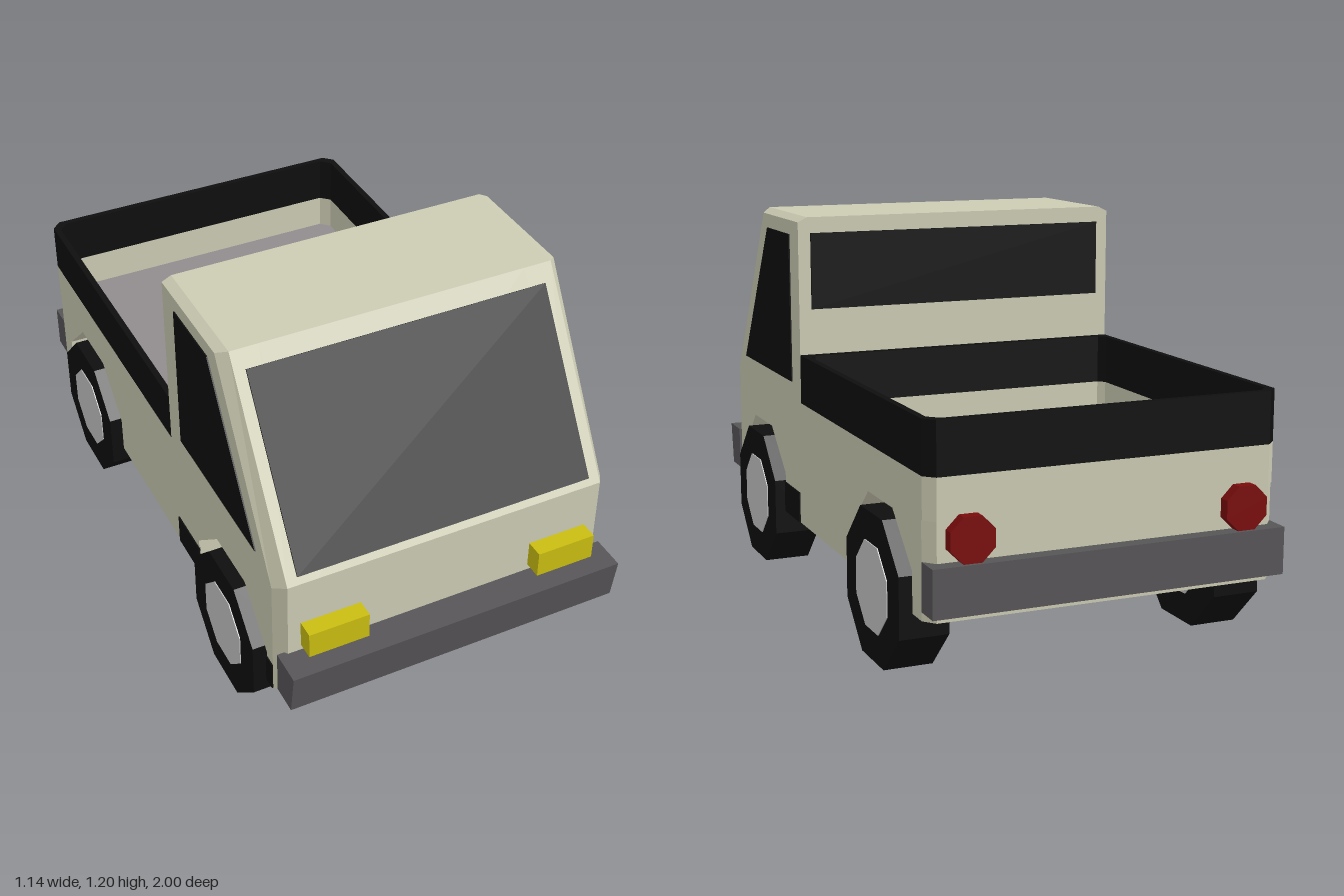
import * as THREE from 'three';

const mat = (name, color) => Object.assign(new THREE.MeshStandardMaterial({ color, flatShading: true }), { name });

export function createModel() {
  const paint = mat('cream paint', 0xcccbb3);
  const black = mat('black trim and glass', 0x0e0e0e);
  const bumperGrey = mat('dark grey', 0x575557);
  const bedGrey = mat('bed grey', 0x918c8d);
  const hubGrey = mat('hub light grey', 0xc6c6c6);
  const yellow = mat('headlight yellow', 0xcabd10);
  const red = mat('tail light red', 0x7a0b0b);

  const group = new THREE.Group();
  const add = (name, geo, material, x = 0, y = 0, z = 0) => {
    const m = new THREE.Mesh(geo, material);
    m.name = name;
    m.position.set(x, y, z);
    group.add(m);
    return m;
  };
  const box = (name, material, w, h, d, x, y, z) =>
    add(name, new THREE.BoxGeometry(w, h, d), material, x, y, z);

  // Body: side profiles (z, y) joined across the width, with chamfered corners
  const arches = [
    [-0.85, 0.21], [-0.85, 0.33], [-0.7, 0.47], [-0.5, 0.47], [-0.35, 0.33], [-0.35, 0.21],
    [0.32, 0.21], [0.32, 0.34], [0.47, 0.47], [0.67, 0.47], [0.82, 0.32], [0.82, 0.21],
  ];
  const inner = [[0.9, 0.21], [0.9, 0.63], [0.54, 1.2], [0.13, 1.2], [0.13, 0.49],
    [-0.955, 0.49], [-0.955, 0.21], ...arches];
  const outer = [[0.86, 0.21], [0.86, 0.61], [0.51, 1.185], [0.13, 1.185], [0.13, 0.49],
    [-0.92, 0.49], [-0.92, 0.21], ...arches];
  const stations = [[-0.54, outer], [-0.51, inner], [-0.42, inner], [0.42, inner], [0.51, inner], [0.54, outer]];
  const bodyPos = [], wellPos = [];
  const isArch = (k) => (k >= 7 && k < 12) || (k >= 13 && k < 18);
  for (let i = 0; i < stations.length - 1; i++) {
    const [x0, p0] = stations[i], [x1, p1] = stations[i + 1];
    for (let k = 0; k < inner.length; k++) {
      const n = (k + 1) % inner.length;
      const pt = (x, p) => [x, p[1], p[0]];
      const a = pt(x0, p0[k]), b = pt(x0, p0[n]), c = pt(x1, p1[n]), d = pt(x1, p1[k]);
      (i === 2 && isArch(k) ? wellPos : bodyPos).push(...a, ...d, ...c, ...a, ...c, ...b);
    }
  }
  // Flat sides of the body
  const contour = outer.map(([z, y]) => new THREE.Vector2(z, y));
  for (const tri of THREE.ShapeUtils.triangulateShape(contour, [])) {
    const t = tri.map((i) => contour[i]);
    const ordered = THREE.ShapeUtils.area(t) < 0 ? t : [t[0], t[2], t[1]];
    for (const v of ordered) bodyPos.push(0.54, v.y, v.x);
    for (const v of [...ordered].reverse()) bodyPos.push(-0.54, v.y, v.x);
  }
  const fromPositions = (pos) => {
    const g = new THREE.BufferGeometry();
    g.setAttribute('position', new THREE.Float32BufferAttribute(pos, 3));
    g.computeVertexNormals();
    return g;
  };
  add('body', fromPositions(bodyPos), paint);
  add('wheelWells', fromPositions(wellPos), bumperGrey);

  // Cargo bed walls: a ring in plan, cream below and black above
  const plan = (w, front, back, c, cf) => [
    [-w + cf, front], [w - cf, front], [w, front - cf], [w, back + c], [w - c, back],
    [-w + c, back], [-w, back + c], [-w, front - cf],
  ].map(([x, z]) => new THREE.Vector2(x, -z));
  const bedRing = (y0, y1) => {
    const s = new THREE.Shape(plan(0.54, 0.13, -0.955, 0.03, 0));
    s.holes.push(new THREE.Path(plan(0.52, 0.1, -0.935, 0.03, 0.02)));
    return new THREE.ExtrudeGeometry(s, { depth: y1 - y0, bevelEnabled: false })
      .rotateX(-Math.PI / 2).translate(0, y0, 0);
  };
  add('bedWalls', bedRing(0.49, 0.61), paint);
  add('bedRail', bedRing(0.61, 0.765), black);
  box('bedFloor', bedGrey, 1.04, 0.008, 1.035, 0, 0.492, -0.4175);

  // Windows
  const shield = box('windshield', black, 0.95, 0.592, 0.009, 0, 0.9, 0.7295);
  shield.rotation.x = -Math.atan2(0.36, 0.57);
  box('rearWindow', black, 1.0, 0.24, 0.009, 0, 1.03, 0.129);
  const side = new THREE.Shape([[0.76, 0.665], [0.46, 1.14], [0.22, 1.14], [0.22, 0.665]]
    .map(([z, y]) => new THREE.Vector2(z, y)));
  for (const s of [1, -1]) {
    const glass = new THREE.ExtrudeGeometry(side, { depth: 0.008, bevelEnabled: false })
      .rotateY(-Math.PI / 2);
    add('sideWindow', glass, black, s * 0.54 + 0.004);
  }

  // Bumpers, the front one leaning in at the bottom
  const front = box('frontBumper', bumperGrey, 1.08, 0.14, 0.11, 0, 0.305, 0.945);
  const fp = front.geometry.attributes.position;
  for (let i = 0; i < fp.count; i++) if (fp.getY(i) < 0 && fp.getZ(i) > 0) fp.setZ(i, 0.035);
  front.geometry.computeVertexNormals();
  box('rearBumper', bumperGrey, 1.08, 0.14, 0.08, 0, 0.305, -0.96);

  // Mirrored lights, sill trim and wheels
  const eightSided = (r, len) => new THREE.CylinderGeometry(r, r, len, 8, 1, false, Math.PI / 8);
  for (const s of [1, -1]) {
    box('headlight', yellow, 0.19, 0.085, 0.06, s * 0.375, 0.4375, 0.925);
    add('tailLight', eightSided(0.07, 0.04).rotateX(Math.PI / 2), red, s * 0.42, 0.44, -0.97);
    box('frontSillTrim', black, 0.008, 0.095, 0.04, s * 0.54, 0.2575, 0.84);
    box('rearSillTrim', black, 0.008, 0.1, 0.16, s * 0.54, 0.26, 0.24);
    for (const z of [0.565, -0.605]) {
      add('tire', eightSided(0.236, 0.148).rotateZ(Math.PI / 2), black, s * 0.495, 0.218, z);
      add('hub', eightSided(0.138, 0.154).rotateZ(Math.PI / 2), hubGrey, s * 0.495, 0.218, z);
    }
  }
  return group;
}
